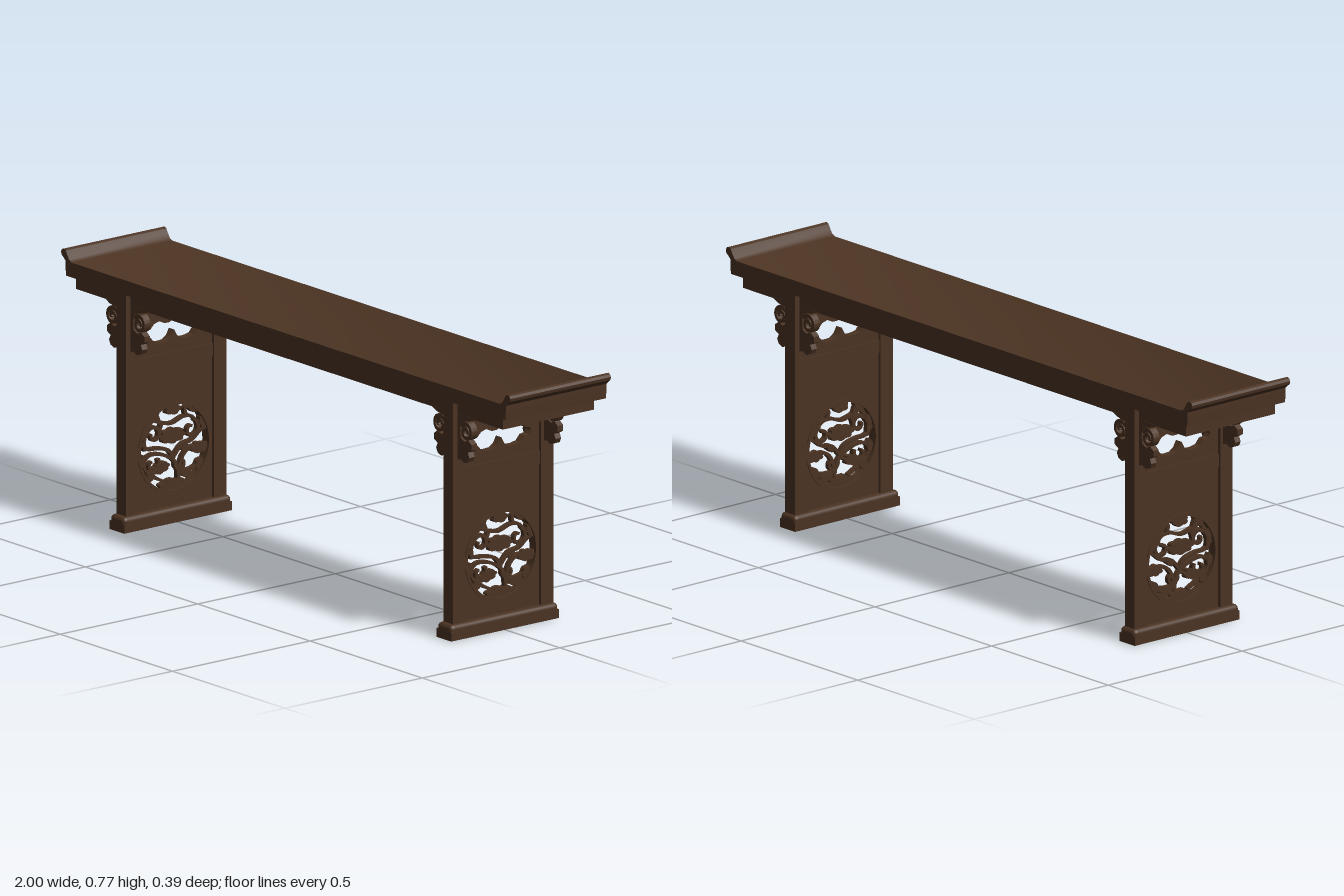
import * as THREE from 'three';
import { mergeGeometries, toCreasedNormals } from 'three/addons/utils/BufferGeometryUtils.js';
import { RoundedBoxGeometry } from 'three/addons/geometries/RoundedBoxGeometry.js';

const wood = new THREE.MeshStandardMaterial({ color: 0x4b3322 });
wood.name = 'dark wood';

const LEG_X = 0.728, HALF_Z = 0.183, PX = 1 / 491;
const V = (p) => new THREE.Vector2(p[0], p[1]);

function add(parent, name, geometry, x = 0, y = 0, z = 0) {
  const mesh = new THREE.Mesh(geometry, wood);
  mesh.name = name;
  mesh.position.set(x, y, z);
  parent.add(mesh);
  return mesh;
}
const box = (parent, name, w, h, d, x, y, z) => add(parent, name, new THREE.BoxGeometry(w, h, d), x, y, z);

// Extrusion centred on its thickness
function slab(shape, depth, curveSegments = 24) {
  const g = new THREE.ExtrudeGeometry(shape, { depth, bevelEnabled: false, curveSegments });
  g.translate(0, 0, -depth / 2);
  return toCreasedNormals(g, 0.6);
}

// Flat band along a smooth path, tapering from w0 to w1
function ribbon(points, w0, w1, n = 30) {
  const curve = new THREE.SplineCurve(points.map(V));
  const left = [], right = [];
  for (let i = 0; i <= n; i++) {
    const t = i / n, p = curve.getPoint(t), d = curve.getTangent(t);
    const w = (w0 + (w1 - w0) * t) / 2;
    left.push(new THREE.Vector2(p.x - d.y * w, p.y + d.x * w));
    right.unshift(new THREE.Vector2(p.x + d.y * w, p.y - d.x * w));
  }
  return new THREE.Shape([...left, ...right]);
}

// Leaf with scalloped edges
function leaf(x, y, rx, ry, angle, lobes = 7) {
  const pts = [];
  for (let i = 0; i < 56; i++) {
    const t = (i / 56) * Math.PI * 2;
    const r = 0.82 + 0.2 * Math.abs(Math.cos(t * lobes / 2));
    const a = rx * r * Math.cos(t), b = ry * r * Math.sin(t);
    pts.push(new THREE.Vector2(x + a * Math.cos(angle) - b * Math.sin(angle), y + a * Math.sin(angle) + b * Math.cos(angle)));
  }
  return new THREE.Shape(pts);
}

function spiral(cx, cy, r0, r1, start, turns) {
  const pts = [];
  for (let i = 0; i <= 14; i++) {
    const t = i / 14, a = start + t * turns * Math.PI * 2, r = r0 + (r1 - r0) * t;
    pts.push([cx + r * Math.cos(a), cy + r * Math.sin(a)]);
  }
  return pts;
}

// Vines and leaves inside the round opening
function carvingGeometry() {
  const vines = [
    [[8, -62], [10, -40], [2, -20], [-20, -8], [-42, -6], [-52, -18], [-44, -32]],
    [[2, -18], [-8, -4], [-28, 2], [-46, 4], [-58, 16]],
    [[10, -36], [18, -16], [32, -6], [50, -8], [64, -4]],
    [[2, -14], [16, 0], [34, 4], [48, 14], [62, 20]],
    [[-50, 2], [-50, 22], [-38, 42], [-22, 38], [-2, 34], [18, 40], [34, 38], [44, 26]],
    [[-24, 38], [-30, 52], [-38, 54]],
    [[24, 40], [22, 52], [34, 55]],
    [[-20, 36], [-24, 22], [-16, 12]],
    [[-46, -28], [-30, -40], [-14, -48]],
    [[12, -38], [28, -38], [44, -34], [56, -30]],
    spiral(-34, 22, 13, 4, 2.6, -1.0),
    spiral(33, 20, 14, 4, 1.2, -1.0),
    spiral(14, -26, 10, 4, 3.0, 0.8),
    spiral(-36, -20, 12, 4, 0.6, -0.8),
  ];
  const leaves = [
    [-1, 16, 23, 11, 0, 8], [0, 54, 14, 8, 0, 5], [47, -9, 15, 8, 0, 7], [-22, -27, 16, 8, 0.2, 7],
    [0, -56, 26, 11, 0, 7], [27, -44, 14, 6, -0.3, 5], [-42, -38, 11, 6, 0.8, 5], [-50, 26, 10, 5, 1.1, 5],
    [52, 26, 10, 5, 2.0, 5], [-53, -12, 9, 5, 1.6, 5], [-34, 48, 10, 5, 0.6, 5], [34, 50, 11, 5, -0.6, 5],
    [20, -2, 8, 4, 0.8, 5], [46, -32, 9, 5, 0.9, 5],
  ];
  const parts = [...vines.map((v) => slab(ribbon(v, 5.5, 4), 7)), ...leaves.map((l) => slab(leaf(...l), 9))];
  const g = mergeGeometries(parts);
  g.scale(PX, PX, 0.018 / 9);
  return g;
}

function rectShape(halfW, y0, y1) {
  return new THREE.Shape([[-halfW, y0], [halfW, y0], [halfW, y1], [-halfW, y1]].map(V));
}

// Cloud-shaped bracket; side is +1 or -1 away from the post
function bracketGeometry(side) {
  const body = [[-0.005, 0.66], [0.075, 0.658], [0.05, 0.646], [0.018, 0.64], [0.011, 0.62], [0.013, 0.592], [0.03, 0.583],
    [0.048, 0.59], [0.062, 0.58], [0.062, 0.563], [0.046, 0.554], [0.053, 0.54], [0.046, 0.526], [0.03, 0.52], [0.014, 0.528], [-0.005, 0.522]];
  const flip = (p) => [p[0] * side, p[1]];
  const curl = spiral(0.038, 0.612, 0.027, 0.006, Math.PI * 0.8, -1.5);
  return mergeGeometries([
    slab(new THREE.Shape(body.map(flip).map(V)), 0.02),
    slab(ribbon(curl.map(flip), 0.011, 0.008, 48), 0.022),
  ]);
}

// Carved end support: foot, two posts, rails, pierced panels and brackets
function createLeg() {
  const leg = new THREE.Group();
  leg.name = 'leg';
  add(leg, 'foot', new RoundedBoxGeometry(0.066, 0.045, 0.392, 3, 0.013), 0, 0.0225, 0.003);
  box(leg, 'footBase', 0.066, 0.026, 0.392, 0, 0.013, 0.003);
  for (const s of [-1, 1]) {
    box(leg, 'post', 0.042, 0.652, 0.046, 0, 0.369, s * (HALF_Z - 0.023));
    for (const side of [-1, 1]) add(leg, 'scrollBracket', bracketGeometry(side), side * 0.021, 0, s * 0.157);
  }
  box(leg, 'topRail', 0.032, 0.07, 0.28, 0, 0.66, 0);
  box(leg, 'middleRail', 0.032, 0.037, 0.28, 0, 0.4765, 0);

  // Panels are drawn facing +x
  const panels = new THREE.Group();
  panels.name = 'panels';
  panels.rotation.y = Math.PI / 2;
  leg.add(panels);

  const half = [[-53, 0], [-50, 5], [-43, 6], [-36, 13], [-27, 15.5], [-17, 11], [-8, 11], [0, 17]];
  const low = [[0, -1], [-5, -10], [-13, -15.5], [-24, -16], [-35, -14], [-42, -6], [-50, -5]];
  const mirror = (pts) => pts.filter((p) => p[0] !== 0).map((p) => [-p[0], p[1]]).reverse();
  const outline = [...half, ...mirror(half), ...mirror(low), ...low];
  const upper = rectShape(0.138, 0.49, 0.63);
  upper.holes.push(new THREE.Path(outline.map((p) => new THREE.Vector2(p[0] * PX, 0.56 + p[1] * PX))));
  add(panels, 'upperPanel', slab(upper, 0.024));

  const lower = rectShape(0.138, 0.04, 0.465);
  lower.holes.push(new THREE.Path().absarc(0, 0.214, 0.129, 0, Math.PI * 2, true));
  add(panels, 'lowerPanel', slab(lower, 0.024, 48));

  const ring = new THREE.Shape().absarc(0, 0, 0.133, 0, Math.PI * 2, false);
  ring.holes.push(new THREE.Path().absarc(0, 0, 0.124, 0, Math.PI * 2, true));
  add(panels, 'roundFrame', slab(ring, 0.03, 48), 0, 0.214, 0);
  add(panels, 'vineCarving', carvingGeometry(), 0, 0.214, 0);
  return leg;
}

export function createModel() {
  const table = new THREE.Group();
  table.name = 'altarTable';

  // Top board with upturned ends
  const end = [[0.978, 0.692], [0.98, 0.72], [0.98, 0.735], [0.988, 0.742], [0.998, 0.75], [1, 0.759], [0.996, 0.766],
    [0.988, 0.769], [0.979, 0.765], [0.972, 0.753], [0.964, 0.741], [0.953, 0.735]];
  const profile = [...end, ...end.map((p) => [-p[0], p[1]]).reverse()];
  add(table, 'tableTop', slab(new THREE.Shape(profile.map(V)), HALF_Z * 2), 0, 0, -0.003);

  const base = new THREE.Group();
  base.name = 'base';
  base.position.set(-0.004, 0, -0.003);
  table.add(base);

  // Apron frame
  for (const s of [-1, 1]) {
    box(base, 'longApron', 1.9, 0.039, 0.02, 0, 0.6745, s * 0.156);
    box(base, 'endApron', 0.02, 0.039, 0.3, s * 0.94, 0.6745, 0);
    const leg = createLeg();
    leg.position.x = s * LEG_X;
    base.add(leg);
  }
  return table;
}
